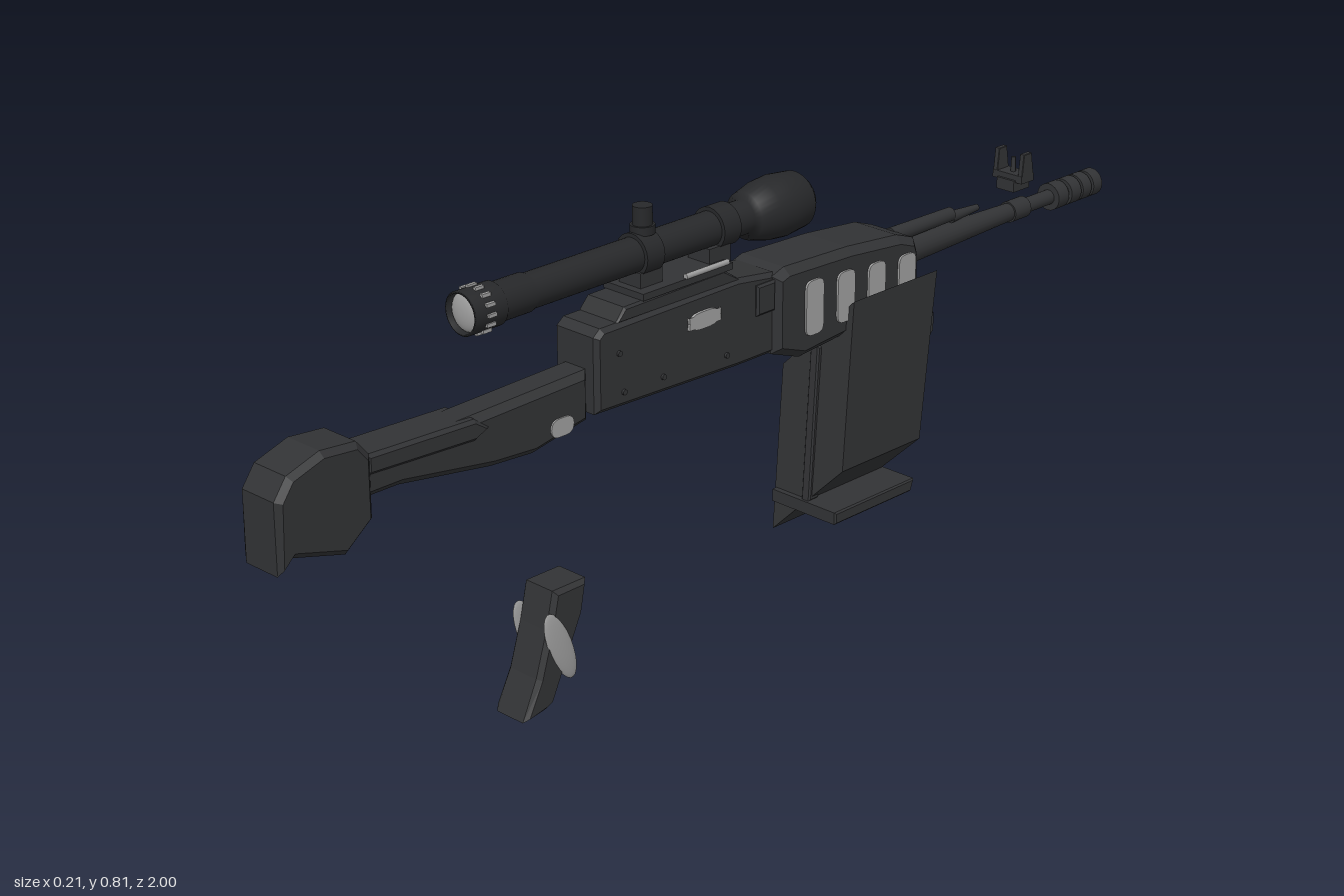
import * as THREE from 'three';

const CX = 0.028; // centre line of the body
const dark = new THREE.MeshStandardMaterial({ color: 0x323335 });
const darker = new THREE.MeshStandardMaterial({ color: 0x27282a });
const light = new THREE.MeshStandardMaterial({ color: 0xa0a0a0 });

function add(parent, name, geo, mat = dark) {
  const mesh = new THREE.Mesh(geo, mat);
  mesh.name = name;
  parent.add(mesh);
  return mesh;
}

// Side outline of [z, y] points, extruded across x with a chamfer
function slab(points, width, bevel = 0.006, x = CX) {
  const shape = new THREE.Shape(points.map(p => new THREE.Vector2(p[0], p[1])));
  const depth = width - 2 * bevel;
  const geo = new THREE.ExtrudeGeometry(shape, {
    depth, bevelEnabled: bevel > 0, bevelThickness: bevel, bevelSize: bevel,
    bevelOffset: -bevel, bevelSegments: 1, curveSegments: 6
  });
  return geo.translate(0, 0, -depth / 2).rotateY(-Math.PI / 2).translate(x, 0, 0);
}

function box(x0, x1, y0, y1, z0, z1) {
  return new THREE.BoxGeometry(x1 - x0, y1 - y0, z1 - z0)
    .translate((x0 + x1) / 2, (y0 + y1) / 2, (z0 + z1) / 2);
}

// Tube along z between z0 and z1, with radius r0 at z0 and r1 at z1
function rod(z0, z1, r0, r1, y, x = CX, sides = 20) {
  return new THREE.CylinderGeometry(r1, r0, z1 - z0, sides)
    .rotateX(Math.PI / 2).translate(x, y, (z0 + z1) / 2);
}

// Rounded upright slot lying on a side wall
function slot(z, y, w, h, x, thick) {
  const r = w * 0.35, a = w / 2, b = h / 2, s = new THREE.Shape();
  s.moveTo(-a + r, -b); s.lineTo(a - r, -b); s.quadraticCurveTo(a, -b, a, -b + r);
  s.lineTo(a, b - r); s.quadraticCurveTo(a, b, a - r, b);
  s.lineTo(-a + r, b); s.quadraticCurveTo(-a, b, -a, b - r);
  s.lineTo(-a, -b + r); s.quadraticCurveTo(-a, -b, -a + r, -b);
  return new THREE.ExtrudeGeometry(s, { depth: thick, bevelEnabled: false, curveSegments: 5 })
    .translate(0, 0, -thick / 2).rotateY(-Math.PI / 2).translate(x, y, z);
}

function group(parent, name) {
  const g = new THREE.Group();
  g.name = name;
  parent.add(g);
  return g;
}

function buildStock(root) {
  const g = group(root, 'stock');
  add(g, 'buttPad', slab([[1, 0.56], [0.975, 0.595], [0.91, 0.616], [0.84, 0.61], [0.815, 0.58],
    [0.815, 0.475], [0.87, 0.432], [0.97, 0.46], [1, 0.438]], 0.094, 0.01));
  add(g, 'stockArm', slab([[0.83, 0.578], [0.75, 0.57], [0.35, 0.58], [0.35, 0.492], [0.47, 0.47],
    [0.56, 0.476], [0.75, 0.505], [0.83, 0.505]], 0.07, 0.012));
  add(g, 'stockRib', slab([[0.82, 0.58], [0.6, 0.572], [0.57, 0.55], [0.6, 0.535], [0.82, 0.545]], 0.08, 0.006));
  for (const s of [-1, 1]) add(g, 'slingPlate', slot(0.415, 0.503, 0.05, 0.032, CX + s * 0.035, 0.006), light);
}

function buildReceiver(root) {
  const g = group(root, 'receiver');
  add(g, 'receiverBody', slab([[0.35, 0.505], [0.35, 0.638], [0.335, 0.65], [0.02, 0.652], [-0.07, 0.64],
    [-0.07, 0.495], [0.02, 0.495]], 0.1, 0.008));
  add(g, 'sidePanel', slab([[-0.02, 0.63], [-0.02, 0.575], [-0.065, 0.575], [-0.065, 0.63]], 0.112, 0.004));
  for (const s of [-1, 1]) {
    const x = CX + s * 0.051;
    add(g, 'port', slot(0.105, 0.606, 0.075, 0.03, x, 0.008), light);
    for (const [z, y] of [[0.29, 0.53], [0.2, 0.53], [0.05, 0.525], [0.3, 0.6]]) {
      add(g, 'pin', new THREE.CylinderGeometry(0.005, 0.005, 0.006, 10).rotateZ(Math.PI / 2).translate(x, y, z));
    }
  }
  add(g, 'loosePin', rod(-0.07, -0.01, 0.012, 0.012, 0.62, -0.095, 16), light);
}

function buildHandguard(root) {
  const g = group(root, 'handguard');
  add(g, 'handguardBody', slab([[-0.06, 0.635], [-0.09, 0.645], [-0.25, 0.64], [-0.38, 0.628], [-0.425, 0.612],
    [-0.435, 0.585], [-0.435, 0.51], [-0.41, 0.495], [-0.25, 0.48], [-0.13, 0.47], [-0.06, 0.495]], 0.125, 0.014));
  for (const s of [-1, 1]) {
    for (let i = 0; i < 4; i++) add(g, 'vent', slot(-0.152 - i * 0.08, 0.56 - i * 0.002, 0.044, 0.1 - i * 0.007, CX + s * 0.0625, 0.008), light);
  }
}

function buildBarrel(root) {
  const g = group(root, 'barrel');
  const y = 0.565;
  add(g, 'barrelTube', rod(-0.9, -0.4, 0.014, 0.015, y));
  add(g, 'taperedSleeve', rod(-0.78, -0.42, 0.016, 0.027, y));
  add(g, 'upperTube', rod(-0.585, -0.42, 0.013, 0.015, 0.603));
  add(g, 'upperTubeTip', rod(-0.66, -0.585, 0.006, 0.011, 0.597));
  add(g, 'collar', rod(-0.795, -0.75, 0.02, 0.02, y));
  // Ringed muzzle
  add(g, 'muzzleCore', rod(-0.995, -0.87, 0.02, 0.018, y));
  for (const [a, b] of [[-0.9, -0.87], [-0.937, -0.909], [-0.968, -0.943], [-1, -0.975]]) {
    add(g, 'muzzleRing', rod(a, b, 0.026, 0.026, y));
  }
  // Front sight floating above the barrel
  const f = group(g, 'frontSight');
  add(f, 'sightBase', box(CX - 0.02, CX + 0.02, 0.61, 0.632, -0.785, -0.74));
  add(f, 'sightBridge', box(CX - 0.034, CX + 0.034, 0.628, 0.642, -0.78, -0.745));
  for (const s of [-1, 1]) add(f, 'sightEar', slab([[-0.745, 0.635], [-0.75, 0.683], [-0.772, 0.683], [-0.78, 0.635]], 0.01, 0.001, CX + s * 0.029));
  add(f, 'sightPost', new THREE.CylinderGeometry(0.004, 0.005, 0.03, 8).translate(CX, 0.655, -0.762));
}

function buildMagazine(root) {
  const g = group(root, 'magazine');
  // Slanted cross-section; its z extent leans with height
  const s = new THREE.Shape([[-0.05, 0.08], [0.105, 0.235], [0.105, 0.548], [-0.05, 0.393]].map(p => new THREE.Vector2(...p)));
  const geo = new THREE.ExtrudeGeometry(s, { depth: 1, bevelEnabled: false });
  const p = geo.attributes.position;
  const lerp = THREE.MathUtils.lerp;
  for (let i = 0; i < p.count; i++) {
    const t = (p.getY(i) - 0.08) / 0.47;
    const near = lerp(-0.205, -0.24, t);
    const far = t < 0.65 ? lerp(-0.392, -0.455, t / 0.65) : -0.46;
    p.setZ(i, lerp(far, near, p.getZ(i)));
  }
  geo.computeVertexNormals();
  add(g, 'magazineBody', geo);
  add(g, 'magazineRidge', slab([[-0.205, 0.16], [-0.224, 0.45], [-0.25, 0.45], [-0.23, 0.16]], 0.02, 0.003));
  add(g, 'magazineFlange', slab([[-0.2, 0.16], [-0.2, 0.137], [-0.405, 0.137], [-0.412, 0.16]], 0.155, 0.003, 0.0275));
  add(g, 'magazineCatch', slab([[-0.42, 0.46], [-0.51, 0.458], [-0.518, 0.44], [-0.518, 0.405], [-0.49, 0.378], [-0.42, 0.375]], 0.06, 0.008));
}

function buildScope(root) {
  const g = group(root, 'scope');
  const y = 0.735;
  // Tube turned around z, from the far bell to the near eyepiece
  const profile = [[0, -0.18], [0.04, -0.18], [0.05, -0.168], [0.055, -0.12], [0.052, -0.085], [0.042, -0.045],
    [0.03, -0.04], [0.03, 0.45], [0.033, 0.46], [0.033, 0.52], [0.037, 0.525], [0.037, 0.59], [0.033, 0.592], [0.033, 0.575], [0, 0.575]];
  const pts = [];
  profile.forEach(p => pts.push(new THREE.Vector2(p[0], p[1])));
  const tube = new THREE.LatheGeometry(pts, 32).rotateX(Math.PI / 2).translate(CX, y, 0);
  add(g, 'scopeTube', tube, darker);
  add(g, 'eyeLens', new THREE.SphereGeometry(0.033, 24, 8, 0, Math.PI * 2, 0, Math.PI / 2)
    .scale(1, 0.35, 1).rotateX(Math.PI / 2).translate(CX, y, 0.578), light);
  for (let i = 0; i < 14; i++) {
    const a = i / 14 * Math.PI * 2;
    add(g, 'knurl', new THREE.BoxGeometry(0.006, 0.006, 0.018)
      .translate(CX + 0.038 * Math.cos(a), y + 0.038 * Math.sin(a), 0.56), light);
  }
  for (const z of [0.02, 0.2]) add(g, 'scopeRing', rod(z - 0.02, z + 0.02, 0.037, 0.037, y), darker);
  add(g, 'turret', new THREE.CylinderGeometry(0.017, 0.017, 0.09, 20).translate(CX, 0.77, 0.195), darker);
  add(g, 'turretCollar', new THREE.CylinderGeometry(0.021, 0.021, 0.015, 20).translate(CX, 0.775, 0.195), darker);
  // Mount
  add(g, 'mountRail', slab([[0.3, 0.648], [0.28, 0.672], [0.05, 0.675], [0.01, 0.648]], 0.09, 0.004));
  for (const z of [0.04, 0.2]) add(g, 'mountFoot', box(CX - 0.025, CX + 0.025, 0.67, 0.71, z - 0.025, z + 0.025));
  add(g, 'mountPlate', box(CX - 0.046, CX + 0.046, 0.672, 0.684, 0.03, 0.24));
  for (const s of [-1, 1]) add(g, 'mountRod', rod(0.04, 0.14, 0.005, 0.005, 0.687, CX + s * 0.043, 8), light);
}

function buildGrip(root) {
  const g = group(root, 'grip');
  add(g, 'gripBody', slab([[0.44, 0.217], [0.366, 0.217], [0.376, 0.16], [0.445, 0.015], [0.46, 0.008], [0.512, 0.001],
    [0.48, 0.07], [0.455, 0.15]], 0.078, 0.008));
  // Oval side inlays, leaning with the grip
  for (const s of [-1, 1]) {
    add(g, 'gripInlay', new THREE.SphereGeometry(1, 20, 12).scale(0.007, 0.072, 0.024)
      .rotateX(0.4).translate(CX + s * 0.037, 0.115, 0.43), light);
  }
}

export function createModel() {
  const root = new THREE.Group();
  root.name = 'explodedRifle';
  [buildStock, buildReceiver, buildHandguard, buildBarrel, buildMagazine, buildScope, buildGrip].forEach(f => f(root));
  return root;
}
